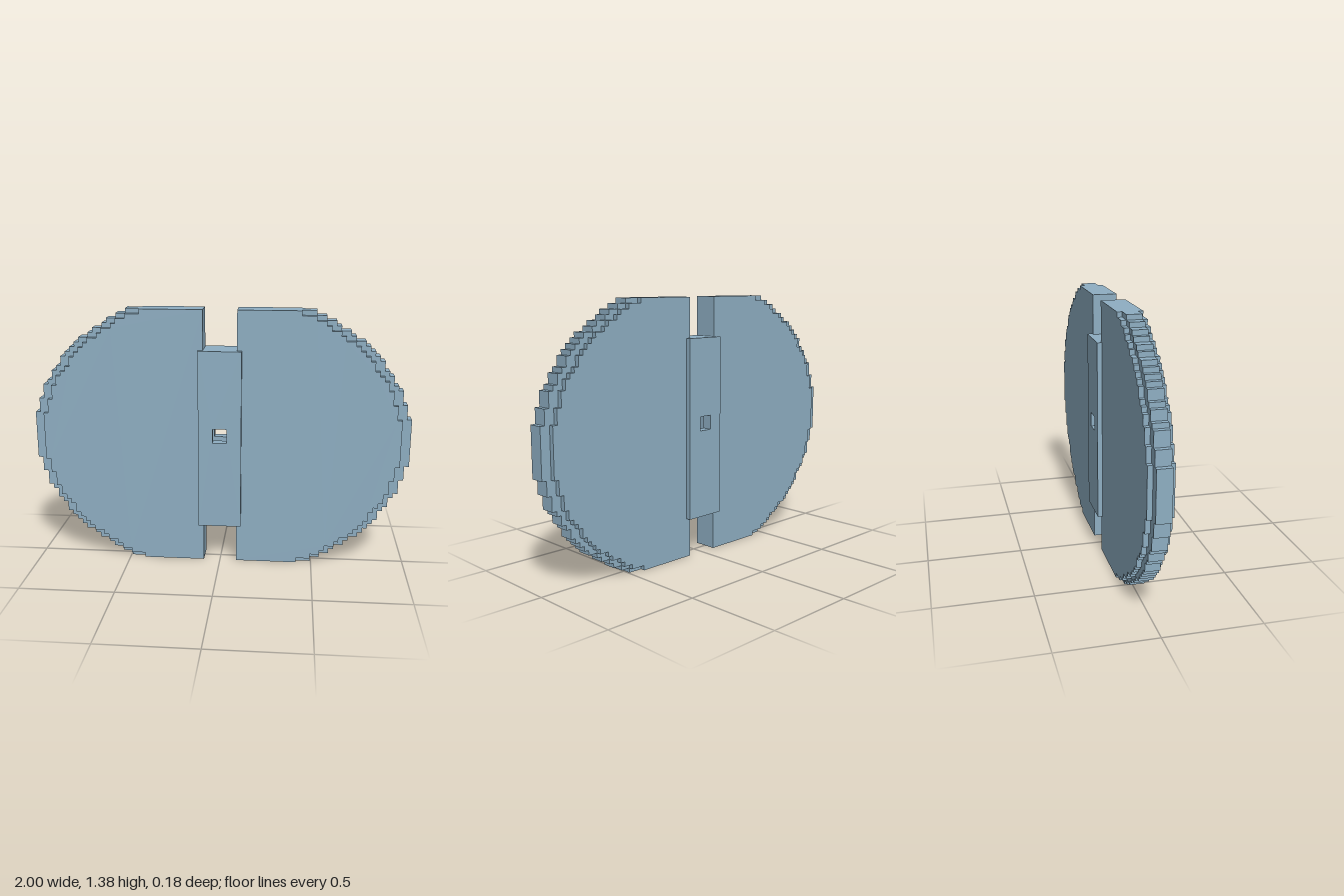
import * as THREE from 'three';

const U = 2 / 79;          // width of one step
const H = 1.38;            // overall height
const ROWS = 54;           // stepped rows in the height
const SLOT = 3.5 * U;      // half width of the slot between the halves

const steel = new THREE.MeshStandardMaterial({ color: 0x8eaec2 });
steel.name = 'blueGrey';

// Stepped outline of the right-hand half of an oval with radii a and b
function steppedHalf(a, b, side) {
  const pts = [[SLOT, 0]];
  const rowH = H / ROWS;
  let last = null;
  for (let i = 0; i < ROWS; i++) {
    const dy = (i + 0.5) * rowH - H / 2;
    const x = a * Math.sqrt(1 - (dy / b) ** 2);
    const snapped = (Math.round(x / U - 0.5) + 0.5) * U;
    if (snapped !== last) {
      if (last !== null) pts.push([last, i * rowH]);
      pts.push([snapped, i * rowH]);
      last = snapped;
    }
  }
  pts.push([last, H], [SLOT, H]);
  return new THREE.Shape(pts.map(([x, y]) => new THREE.Vector2(side * x, y)));
}

function rect(PathType, halfW, y0, y1) {
  return new PathType([
    new THREE.Vector2(-halfW, y0), new THREE.Vector2(halfW, y0),
    new THREE.Vector2(halfW, y1), new THREE.Vector2(-halfW, y1),
  ]);
}

// Flat slab between two depths
function slab(name, shape, z0, z1) {
  const geo = new THREE.ExtrudeGeometry(shape, { depth: z1 - z0, bevelEnabled: false });
  geo.translate(0, 0, z0);
  const mesh = new THREE.Mesh(geo, steel);
  mesh.name = name;
  return mesh;
}

// Hub layer with a square opening of the given half size
function hubLayer(name, half, z0, z1) {
  const shape = rect(THREE.Shape, 4.5 * U, 0.21, 1.17);
  shape.holes.push(rect(THREE.Path, half, 0.718 - half, 0.718 + half));
  return slab(name, shape, z0, z1);
}

export function createModel() {
  const model = new THREE.Group();
  model.name = 'splitWheel';

  // Two mirrored wheel halves: wide rim in the middle, smaller faces outside
  for (const side of [1, -1]) {
    const half = new THREE.Group();
    half.name = side > 0 ? 'leftHalf' : 'rightHalf';
    const face = steppedHalf(0.95, 0.757, side);
    half.add(
      slab('rim', steppedHalf(1, 0.775, side), -1.5 * U, 1.5 * U),
      slab('frontFace', face, 1.5 * U, 2.5 * U),
      slab('backFace', face, -2.5 * U, -1.5 * U),
    );
    model.add(half);
  }

  // Hub block joining the halves, with a hole that widens inside
  const hub = new THREE.Group();
  hub.name = 'hub';
  hub.add(
    hubLayer('frontPlate', 1.5 * U, 1.5 * U, 3.5 * U),
    hubLayer('hubCore', 2.5 * U, -1.5 * U, 1.5 * U),
    hubLayer('backPlate', 1.5 * U, -3.5 * U, -1.5 * U),
  );
  model.add(hub);
  return model;
}
